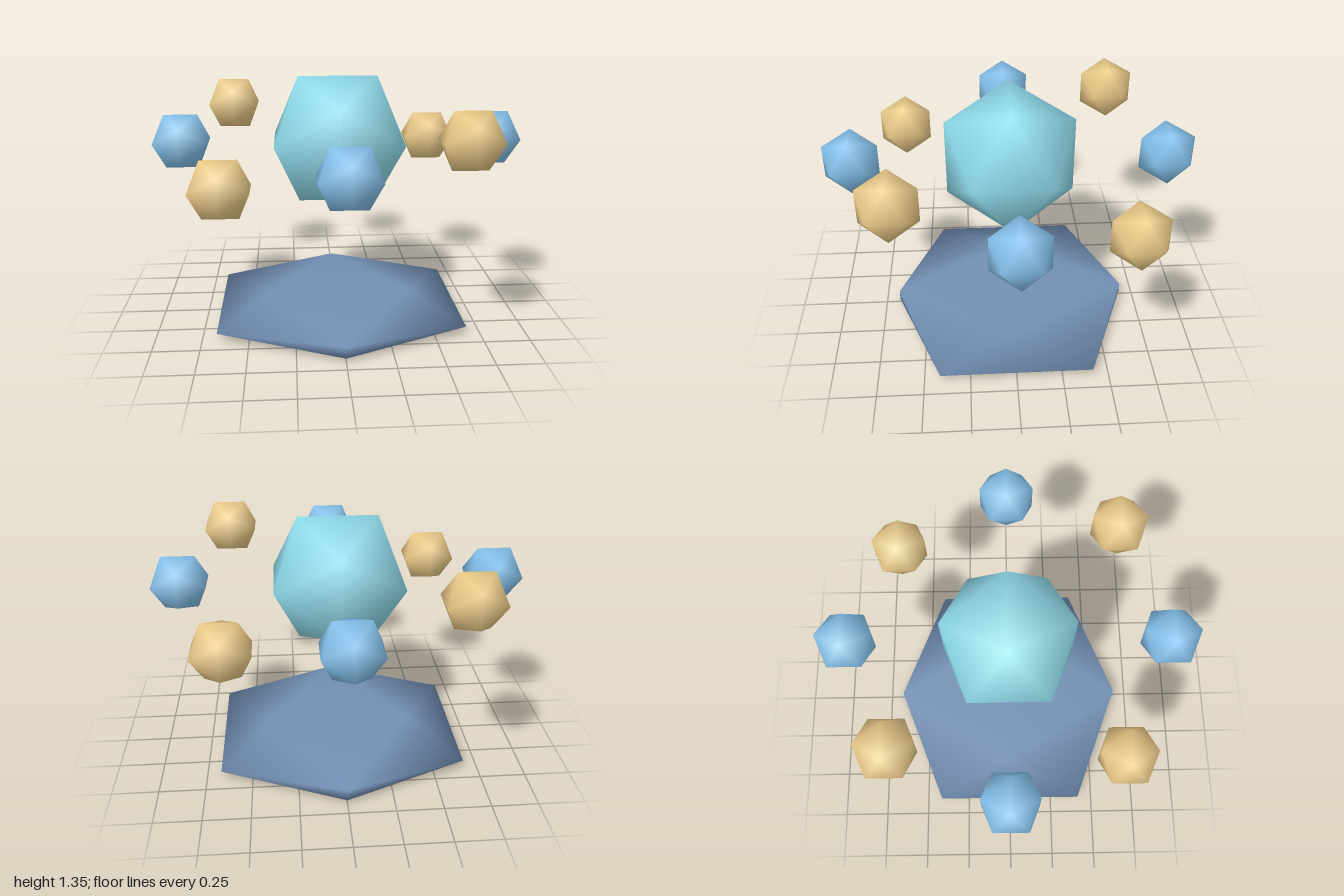
import * as THREE from 'three';
import { mergeVertices } from 'three/addons/utils/BufferGeometryUtils.js';

// Icosahedron with shared vertices, so the shading is smooth
function smoothIcosahedron(radius) {
  const geometry = new THREE.IcosahedronGeometry(radius, 0);
  geometry.deleteAttribute('uv');
  geometry.deleteAttribute('normal');
  const merged = mergeVertices(geometry);
  merged.computeVertexNormals();
  return merged;
}

export function createModel() {
  const model = new THREE.Group();
  model.name = 'orbitingCrystals';

  const paint = (color) => new THREE.MeshStandardMaterial({ color });
  const teal = paint(0x8fdcec);
  const blue = paint(0x84c1ec);
  const gold = paint(0xeccb88);
  const slate = paint(0x7390b5);

  const add = (name, geometry, material, x, y, z) => {
    const mesh = new THREE.Mesh(geometry, material);
    mesh.name = name;
    mesh.position.set(x, y, z);
    model.add(mesh);
    return mesh;
  };

  // Flattened base
  const base = add('base', smoothIcosahedron(0.787), slate, 0, 0.05, 0);
  base.scale.y = 0.0735;

  // Central core
  const centreY = 1.005;
  add('core', smoothIcosahedron(0.41), teal, 0, centreY, 0);

  // Ring of eight satellites; the diagonal ones alternate up and down
  const satellite = smoothIcosahedron(0.172);
  const orbit = 0.853;
  for (let i = 0; i < 8; i++) {
    const angle = (i * Math.PI) / 4;
    add(
      'satellite' + (i + 1),
      satellite,
      i % 2 ? gold : blue,
      orbit * Math.cos(angle),
      centreY + 0.11 * Math.sin(2 * angle),
      orbit * Math.sin(angle)
    );
  }

  return model;
}
